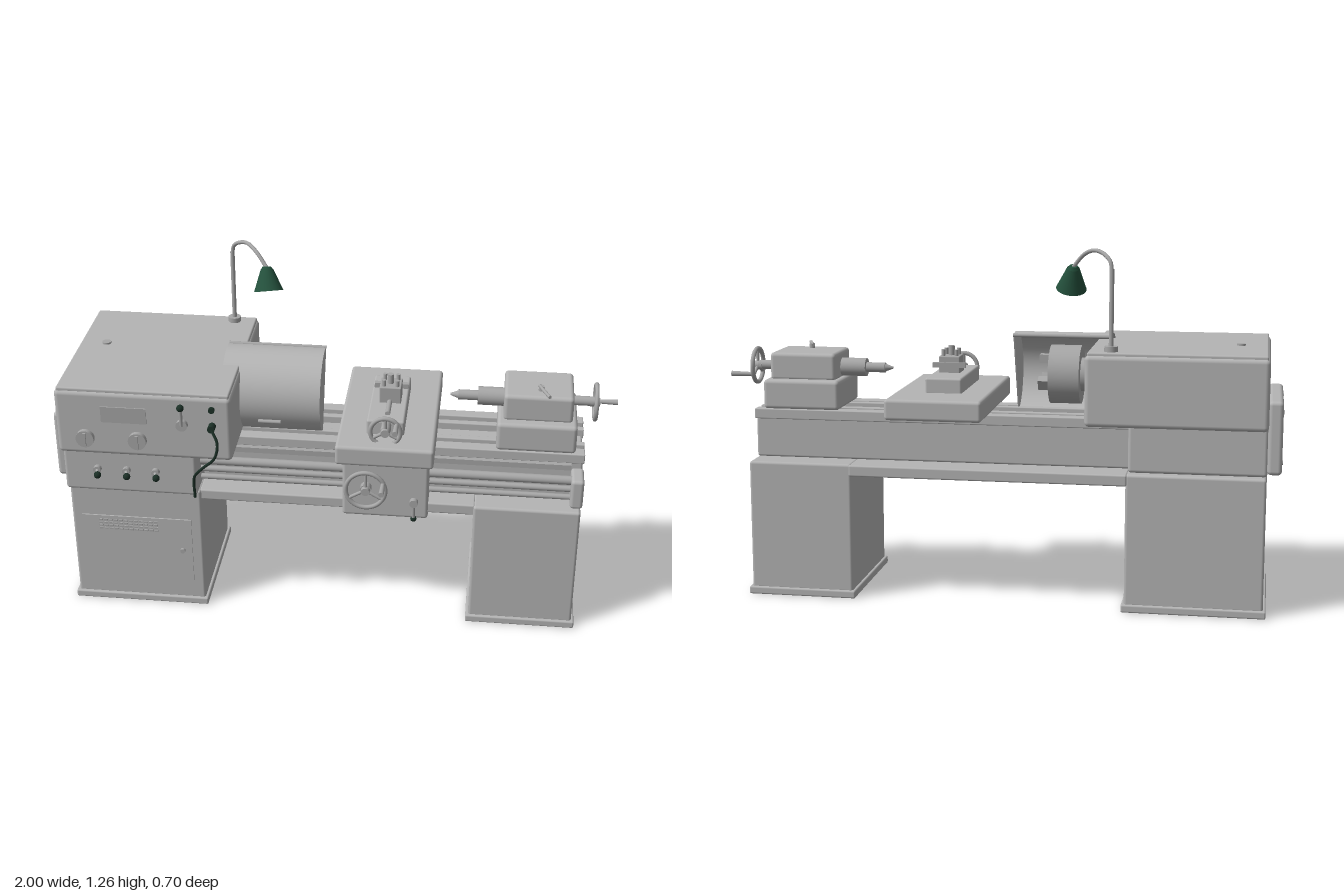
import * as THREE from 'three';
import { RoundedBoxGeometry } from 'three/addons/geometries/RoundedBoxGeometry.js';

const material = (name, color) => {
  const m = new THREE.MeshStandardMaterial({ color });
  m.name = name;
  return m;
};

export function createModel() {
  const paint = material('grey paint', 0xb4b4b4);
  const steel = material('steel', 0xa6a6a6);
  const green = material('lamp green', 0x24503c);
  const dark = material('dark plastic', 0x1c3027);
  const sheetPaint = material('guard sheet', 0xb4b4b4);
  sheetPaint.side = THREE.DoubleSide;
  const shadeGreen = material('lamp shade', 0x24503c);
  shadeGreen.side = THREE.DoubleSide;

  const root = new THREE.Group();
  root.name = 'lathe';
  const add = (name, geo, mat, parent = root) => {
    const m = new THREE.Mesh(geo, mat);
    m.name = name;
    parent.add(m);
    return m;
  };
  // Box given by its limits; r > 0 rounds the edges
  const box = (name, [x0, x1], [y0, y1], [z0, z1], r = 0, mat = paint) => {
    const s = [x1 - x0, y1 - y0, z1 - z0];
    const g = r ? new RoundedBoxGeometry(...s, 3, r) : new THREE.BoxGeometry(...s);
    const m = add(name, g, mat);
    m.position.set((x0 + x1) / 2, (y0 + y1) / 2, (z0 + z1) / 2);
    return m;
  };
  // Cylinder between two points
  const rod = (name, a, b, r0, mat = steel, r1 = r0, parent = root, open = false) => {
    const p = new THREE.Vector3(...a), q = new THREE.Vector3(...b);
    const m = add(name, new THREE.CylinderGeometry(r1, r0, p.distanceTo(q), 24, 1, open), mat, parent);
    m.position.copy(p).add(q).multiplyScalar(0.5);
    m.quaternion.setFromUnitVectors(new THREE.Vector3(0, 1, 0), q.clone().sub(p).normalize());
    return m;
  };
  const ball = (name, p, r, mat = dark) =>
    add(name, new THREE.SphereGeometry(r, 16, 12), mat).position.set(...p);
  const tube = (name, pts, r, mat) => {
    const curve = new THREE.CatmullRomCurve3(pts.map(p => new THREE.Vector3(...p)));
    return add(name, new THREE.TubeGeometry(curve, 40, r, 10), mat);
  };
  // Handwheel facing +z with three spokes and a crank handle
  const handwheel = (name, r, handleAngle, handleLength) => {
    const g = new THREE.Group();
    g.name = name;
    add('wheelRim', new THREE.TorusGeometry(r - 0.008, 0.008, 10, 40), steel, g);
    rod('wheelHub', [0, 0, -0.02], [0, 0, 0.015], 0.018, steel, 0.015, g);
    for (let i = 0; i < 3; i++) {
      const a = Math.PI / 2 + i * Math.PI * 2 / 3;
      rod('wheelSpoke', [0, 0, 0], [Math.cos(a) * (r - 0.008), Math.sin(a) * (r - 0.008), 0], 0.006, steel, 0.006, g);
    }
    const hx = Math.cos(handleAngle) * (r - 0.01), hy = Math.sin(handleAngle) * (r - 0.01);
    rod('wheelHandle', [hx, hy, 0], [hx, hy, handleLength], 0.007, steel, 0.01, g);
    root.add(g);
    return g;
  };

  // Cabinets on plinths
  for (const [side, x0, x1, zb] of [['right', -0.95, -0.47, -0.255], ['left', 0.505, 0.88, -0.25]]) {
    box(side + 'Cabinet', [x0, x1], [0.02, 0.49], [zb, 0.225], 0.01);
    box(side + 'Plinth', [x0 - 0.01, x1 + 0.01], [0, 0.028], [zb - 0.01, 0.235], 0.006);
  }
  // Cabinet door with louvres and latch
  box('cabinetDoor', [-0.915, -0.51], [0.1, 0.365], [0.224, 0.23]);
  for (let row = 0; row < 4; row++)
    for (let i = 0; i < 12; i++) {
      const x = -0.85 + i * 0.0185, y = 0.31 + row * 0.012;
      box('louvre', [x, x + 0.013], [y, y + 0.006], [0.229, 0.234], 0, steel);
    }
  rod('doorLatch', [-0.545, 0.235, 0.228], [-0.545, 0.235, 0.24], 0.009);

  // Headstock, gearbox and end cover
  box('gearbox', [-0.952, -0.475], [0.49, 0.672], [-0.225, 0.258], 0.012);
  box('headstock', [-0.952, -0.335], [0.668, 0.912], [-0.345, 0.305], 0.016);
  box('headstockLid', [-0.945, -0.342], [0.905, 0.922], [-0.335, 0.297], 0.006);
  rod('oilCap', [-0.85, 0.92, -0.06], [-0.85, 0.928, -0.06], 0.016);
  box('endCover', [-1, -0.95], [0.5, 0.755], [-0.235, 0.185], 0.014);
  for (const y of [0.54, 0.715]) for (const z of [-0.2, 0.15])
    rod('coverScrew', [-0.995, y, z], [-1.003, y, z], 0.007);

  // Headstock front controls
  box('speedPlate', [-0.79, -0.63], [0.8, 0.86], [0.304, 0.309], 0, steel);
  for (const x of [-0.85, -0.665]) {
    rod('speedDial', [x, 0.735, 0.3], [x, 0.735, 0.322], 0.032);
    box('dialGrip', [x - 0.005, x + 0.005], [0.71, 0.76], [0.32, 0.328], 0, steel);
  }
  rod('leverBoss', [-0.505, 0.807, 0.3], [-0.505, 0.807, 0.322], 0.02);
  rod('leverArm', [-0.505, 0.807, 0.318], [-0.505, 0.875, 0.325], 0.006);
  ball('leverKnob', [-0.505, 0.88, 0.325], 0.013);
  rod('button', [-0.4, 0.87, 0.3], [-0.4, 0.87, 0.315], 0.011, dark);
  rod('cableSocket', [-0.4, 0.807, 0.3], [-0.4, 0.807, 0.335], 0.013, dark);
  tube('cable', [[-0.4, 0.807, 0.33], [-0.378, 0.76, 0.344], [-0.39, 0.7, 0.342], [-0.44, 0.64, 0.315],
    [-0.478, 0.58, 0.28], [-0.482, 0.49, 0.265]], 0.005, dark);
  for (const x of [-0.83, -0.725, -0.62]) {
    rod('gearBoss', [x, 0.583, 0.25], [x, 0.583, 0.275], 0.014);
    rod('gearStem', [x, 0.583, 0.27], [x + 0.01, 0.583, 0.3], 0.006);
    ball('gearKnob', [x + 0.01, 0.583, 0.305], 0.013);
  }

  // Bed with ways, chip tray, lead screw and feed rods
  box('bed', [-0.48, 0.88], [0.49, 0.64], [-0.155, 0.115], 0.008);
  for (const [z0, z1] of [[-0.16, -0.115], [-0.085, -0.06], [0.025, 0.05], [0.075, 0.122]])
    box('bedWay', [-0.48, 0.885], [0.63, 0.667], [z0, z1], 0.004);
  box('chipTray', [-0.475, 0.51], [0.45, 0.49], [-0.265, 0.215], 0.006);
  box('rack', [-0.48, 0.84], [0.612, 0.632], [0.11, 0.14], 0, steel);
  for (const [y, r] of [[0.59, 0.016], [0.555, 0.011], [0.522, 0.01]])
    rod('feedRod', [-0.48, y, 0.17], [0.86, y, 0.17], r);
  box('rodBracket', [0.84, 0.885], [0.497, 0.61], [0.11, 0.213], 0.012);

  // Spindle and chuck
  const cy = 0.8, cz = -0.02;
  rod('spindleNose', [-0.36, cy, cz], [-0.27, cy, cz], 0.06);
  rod('chuck', [-0.29, cy, cz], [-0.18, cy, cz], 0.105);
  for (let i = 0; i < 3; i++) {
    const a = Math.PI / 2 + i * Math.PI * 2 / 3;
    const jaw = box('chuckJaw', [-0.19, -0.14], [0.78, 0.82], [-0.035, -0.005], 0, steel);
    jaw.position.set(-0.165, cy + 0.055 * Math.sin(a), cz + 0.055 * Math.cos(a));
    jaw.rotation.x = -a;
  }
  // Chuck guard: curved sheet closed by a segment plate at its open end
  const a0 = -1.19, a1 = 1.92, gr = 0.15;
  const sheet = add('chuckGuard', new THREE.CylinderGeometry(gr, gr, 0.35, 40, 1, true, a0, a1 - a0), sheetPaint);
  // maps cylinder axis to x, start direction to the front
  sheet.matrixAutoUpdate = true;
  sheet.quaternion.setFromRotationMatrix(new THREE.Matrix4().makeBasis(
    new THREE.Vector3(0, 1, 0), new THREE.Vector3(1, 0, 0), new THREE.Vector3(0, 0, -1)));
  sheet.quaternion.setFromRotationMatrix(new THREE.Matrix4().makeBasis(
    new THREE.Vector3(0, 1, 0), new THREE.Vector3(-1, 0, 0), new THREE.Vector3(0, 0, 1)));
  sheet.position.set(-0.225, cy, cz);
  const segment = new THREE.Shape();
  segment.absarc(0, 0, gr, Math.PI - a1, Math.PI - a0, false);
  const plate = add('guardEndPlate', new THREE.ExtrudeGeometry(segment, { depth: 0.005, bevelEnabled: false, curveSegments: 40 }), paint);
  plate.rotation.y = Math.PI / 2;
  plate.position.set(-0.055, cy, cz);
  rod('guardHinge', [-0.4, 0.942, -0.07], [-0.05, 0.942, -0.07], 0.007);
  rod('guardHandle', [-0.27, 0.735, 0.125], [-0.19, 0.735, 0.125], 0.007);

  // Carriage: saddle, apron, cross slide and tool post
  box('saddle', [0.02, 0.362], [0.668, 0.742], [-0.332, 0.288], 0.012);
  box('apron', [0.04, 0.345], [0.428, 0.672], [0.12, 0.225], 0.012);
  handwheel('apronWheel', 0.078, 0.45, 0.075).position.set(0.125, 0.55, 0.25);
  rod('apronShaft', [0.125, 0.55, 0.22], [0.125, 0.55, 0.25], 0.02);
  rod('apronLeverPivot', [0.295, 0.5, 0.22], [0.295, 0.5, 0.245], 0.015);
  rod('apronLever', [0.295, 0.5, 0.238], [0.295, 0.435, 0.23], 0.006);
  ball('apronLeverKnob', [0.295, 0.43, 0.228], 0.011);
  box('crossSlide', [0.12, 0.252], [0.735, 0.795], [-0.165, 0.185], 0.008);
  rod('crossScrew', [0.19, 0.78, 0.17], [0.19, 0.78, 0.235], 0.017);
  handwheel('crossSlideWheel', 0.06, 0.7, 0.07).position.set(0.19, 0.78, 0.235);
  rod('topSlideScrew', [0.19, 0.8, 0.04], [0.19, 0.8, 0.14], 0.009);
  box('toolPost', [0.153, 0.23], [0.79, 0.855], [-0.03, 0.05], 0.004, steel);
  for (const x of [0.168, 0.215]) for (const z of [-0.015, 0.035])
    rod('toolBolt', [x, 0.85, z], [x, 0.878, z], 0.007);
  rod('toolPostStud', [0.19, 0.85, 0.01], [0.19, 0.89, 0.01], 0.011);
  box('cuttingTool', [0.13, 0.25], [0.815, 0.833], [-0.042, -0.025], 0, steel);

  // Tailstock with quill, handwheel and lock lever
  box('tailstockBase', [0.572, 0.852], [0.665, 0.772], [-0.156, 0.12], 0.014);
  box('tailstockBody', [0.592, 0.835], [0.765, 0.866], [-0.122, 0.084], 0.014);
  rod('quillHousing', [0.5, 0.807, cz], [0.61, 0.807, cz], 0.033);
  rod('quill', [0.43, 0.807, cz], [0.51, 0.807, cz], 0.018);
  rod('deadCentre', [0.43, 0.807, cz], [0.402, 0.807, cz], 0.014, steel, 0.004);
  rod('tailstockScrew', [0.825, 0.807, cz], [0.91, 0.807, cz], 0.017);
  const wheel = handwheel('tailstockWheel', 0.07, -0.45, 0.082);
  wheel.rotation.y = Math.PI / 2;
  wheel.position.set(0.915, 0.805, cz);
  rod('lockStud', [0.72, 0.86, 0.03], [0.72, 0.883, 0.03], 0.01);
  rod('lockLever', [0.713, 0.879, 0.02], [0.748, 0.879, 0.105], 0.006);

  // Work lamp on a bent pole
  rod('lampBase', [-0.42, 0.92, -0.297], [-0.42, 0.94, -0.297], 0.023);
  rod('lampPole', [-0.42, 0.935, -0.297], [-0.42, 1.2, -0.297], 0.008);
  tube('lampNeck', [[-0.42, 1.19, -0.297], [-0.413, 1.225, -0.291], [-0.385, 1.25, -0.266], [-0.355, 1.257, -0.245],
    [-0.315, 1.24, -0.205], [-0.275, 1.195, -0.175]], 0.007, steel);
  rod('lampShade', [-0.265, 1.118, -0.145], [-0.275, 1.19, -0.176], 0.053, shadeGreen, 0.022, root, true);
  rod('lampCap', [-0.275, 1.188, -0.175], [-0.276, 1.198, -0.179], 0.022, green, 0.015);
  return root;
}
